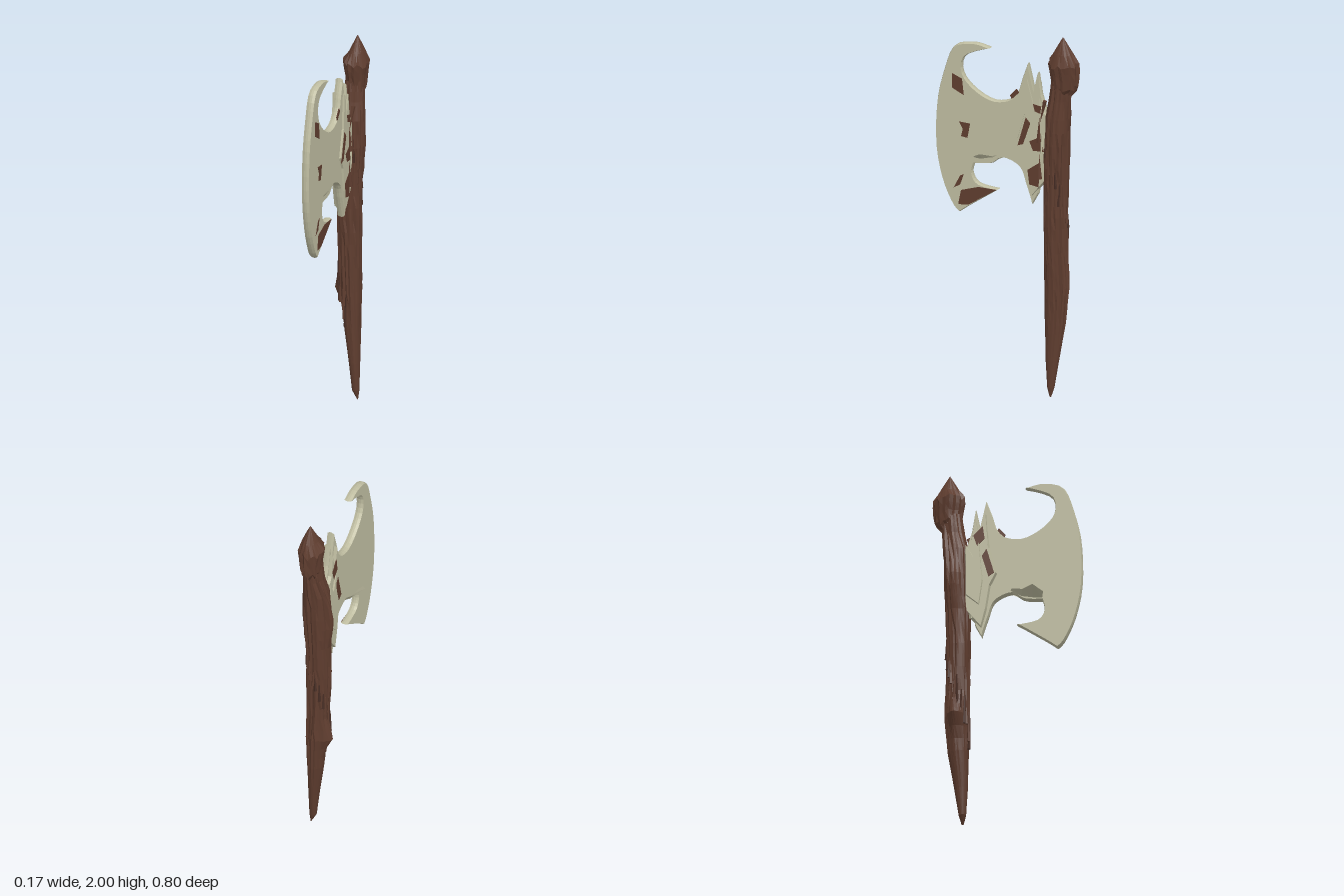
import * as THREE from 'three';

const mat = (color, side = THREE.FrontSide) =>
  new THREE.MeshStandardMaterial({ color, flatShading: true, roughness: 0.9, side });
const wood = mat(0x5f3d2f);
const darkWood = mat(0x4a3027);
const bone = mat(0xbfbda1);
const boneSheet = mat(0xbfbda1, THREE.DoubleSide);

// repeatable value in -1..1
const noise = (a, b = 0) => {
  const s = Math.sin(a * 127.1 + b * 311.7) * 43758.5453;
  return (s - Math.floor(s)) * 2 - 1;
};

function mesh(name, geometry, material) {
  const m = new THREE.Mesh(geometry, material);
  m.name = name;
  return m;
}

// Loft through rows [y, xMin, xMax, zMin, zMax]; push(point, angle, y, column) roughens each ring.
function loft(rows, sides, step, push) {
  const rings = [];
  rows.forEach((r, i) => {
    if (!i) return rings.push(r);
    const p = rows[i - 1], n = Math.max(1, Math.round((r[0] - p[0]) / step));
    for (let k = 1; k <= n; k++) rings.push(r.map((v, c) => p[c] + (v - p[c]) * k / n));
  });
  const pos = [], idx = [];
  rings.forEach(([y, x0, x1, z0, z1], j) => {
    for (let i = 0; i < sides; i++) {
      const a = i / sides * Math.PI * 2;
      const { r, dx, dy } = push(a, y, i, j);
      pos.push((x0 + x1) / 2 + Math.sin(a) * r * (x1 - x0) / 2 + dx, y + dy,
        (z0 + z1) / 2 + Math.cos(a) * r * (z1 - z0) / 2);
      if (j < rings.length - 1) {
        const p = j * sides + i, q = j * sides + (i + 1) % sides;
        idx.push(p, q, p + sides, q, q + sides, p + sides);
      }
    }
  });
  const g = new THREE.BufferGeometry();
  g.setAttribute('position', new THREE.Float32BufferAttribute(pos, 3));
  g.setIndex(idx);
  g.computeVertexNormals();
  return g;
}

// Plate in the z-y plane: runs of [z, y] points, corners fall between runs. Leans slightly in x.
function plate(runs, half, bevel, x = 0) {
  const s = new THREE.Shape();
  s.moveTo(...runs[0][0]);
  runs.forEach((run, i) => {
    const pts = (i ? run : run.slice(1)).map(p => new THREE.Vector2(...p));
    if (pts.length === 1) s.lineTo(pts[0].x, pts[0].y);
    else s.splineThru(pts);
  });
  const t = bevel ? half * 0.7 : 0;
  const g = new THREE.ExtrudeGeometry(s, {
    depth: 2 * (half - t), curveSegments: 3, bevelEnabled: bevel > 0,
    bevelThickness: t, bevelSize: bevel, bevelOffset: -bevel, bevelSegments: 1,
  });
  g.translate(0, 0, t - half).rotateY(-Math.PI / 2);
  const p = g.attributes.position;
  for (let i = 0; i < p.count; i++) p.setX(i, p.getX(i) + x + 0.03 * p.getZ(i));
  g.computeVertexNormals();
  return g;
}
const polygon = pts => pts.map(p => [p]).concat([[pts[0]]]).map((r, i) => i ? r : [r[0], r[0]]);

export function createModel() {
  const group = new THREE.Group();

  // handle: a tapering, furrowed trunk with a knot low on one side
  const handleRows = [
    [0, 0.043, 0.048, -0.248, -0.238], [0.05, 0.015, 0.055, -0.262, -0.222],
    [0.2, -0.003, 0.056, -0.285, -0.21], [0.4, -0.035, 0.056, -0.315, -0.202],
    [0.6, -0.052, 0.056, -0.33, -0.197], [0.8, -0.066, 0.058, -0.317, -0.195],
    [1.0, -0.072, 0.062, -0.316, -0.192], [1.2, -0.068, 0.062, -0.322, -0.192],
    [1.4, -0.072, 0.074, -0.33, -0.196], [1.55, -0.066, 0.07, -0.338, -0.2],
    [1.65, -0.045, 0.062, -0.345, -0.222], [1.76, -0.04, 0.06, -0.35, -0.235],
  ];
  group.add(mesh('handle', loft(handleRows, 36, 0.07, (a, y, i, j) => {
    const rough = Math.min(1, Math.max(0.12, (y - 0.1) * 1.6));
    const furrow = noise(i, Math.floor((y + noise(i) * 0.2) / 0.38));
    const west = Math.max(0, -Math.sin(a));
    const knot = 0.042 * Math.exp(-(((y - 0.61) / 0.07) ** 2)) * west ** 3;
    const burl = 0.02 * Math.exp(-(((y - 1.37) / 0.12) ** 4)) * west ** 6;
    return { r: 0.96 + rough * (0.11 * furrow + 0.02 * noise(i, j)), dx: -knot - burl, dy: 0 };
  }), wood));

  // raised bark strips
  const bark = new THREE.Group();
  bark.name = 'barkStrips';
  for (let i = 0; i < 22; i++) {
    const a = i * 2.4, y = 0.5 + (i * 0.618 % 1) * 1.0, len = 0.16 + 0.08 * noise(i, 5);
    const strip = mesh('barkStrip', new THREE.CylinderGeometry(0.003, 0.009, len, 4), i % 2 ? wood : darkWood);
    strip.position.set(-0.004 + Math.sin(a) * 0.061, y, -0.258 + Math.cos(a) * 0.06);
    strip.rotation.set(0.03 * noise(i, 1), a, 0.04 * noise(i, 2));
    bark.add(strip);
  }
  group.add(bark);

  // pommel: ragged bud with a pointed tip
  const pommelRows = [
    [1.68, -0.02, 0.05, -0.34, -0.25], [1.72, -0.04, 0.065, -0.38, -0.24],
    [1.77, -0.042, 0.07, -0.388, -0.232], [1.85, -0.055, 0.083, -0.39, -0.218],
    [1.91, -0.024, 0.062, -0.36, -0.25], [1.96, 0.0, 0.04, -0.33, -0.28],
    [2.0, 0.019, 0.021, -0.306, -0.304],
  ];
  group.add(mesh('pommel', loft(pommelRows, 26, 0.05, (a, y, i, j) => ({
    r: 0.97 + (y < 1.9 ? 0.1 : 0.04) * noise(i, 9) + 0.03 * noise(i, j),
    dx: 0, dy: y < 1.9 ? 0.018 * noise(i, 3) : 0,
  })), wood));

  // blade: broad crescent with a hooked top, a lower barb and spikes by the handle
  const blade = [
    [[0.10, 1.885], [0.19, 1.905], [0.30, 1.875], [0.355, 1.74], [0.395, 1.555], [0.4, 1.315], [0.365, 1.13], [0.31, 1.0], [0.27, 0.955]],
    [[0.21, 1.0], [0.055, 1.105]],
    [[0.165, 1.125], [0.2, 1.18], [0.19, 1.235]],
    [[0.095, 1.245], [0.03, 1.285], [-0.06, 1.245], [-0.095, 1.155], [-0.13, 1.045]],
    [[-0.165, 1.11]], [[-0.18, 1.235]], [[-0.215, 1.3]], [[-0.215, 1.55]], [[-0.182, 1.66]],
    [[-0.16, 1.78]], [[-0.138, 1.675]], [[-0.105, 1.825]],
    [[-0.075, 1.74], [-0.05, 1.66], [0, 1.61], [0.095, 1.6], [0.2, 1.66], [0.255, 1.74], [0.235, 1.83], [0.10, 1.885]],
  ];
  group.add(mesh('blade', plate(blade, 0.02, 0.005, 0.002), bone));

  // socket: jagged thicker layers gripping the handle
  const socket = [[-0.22, 1.2], [-0.165, 1.13], [-0.13, 1.09], [-0.1, 1.2], [-0.08, 1.33], [-0.045, 1.4],
    [-0.085, 1.55], [-0.105, 1.75], [-0.138, 1.62], [-0.162, 1.73], [-0.185, 1.6], [-0.22, 1.55]];
  group.add(mesh('socket', plate(polygon(socket), 0.034, 0.008, -0.002), bone));
  const sideFlake = [[-0.21, 1.28], [-0.14, 1.22], [-0.12, 1.36], [-0.14, 1.58], [-0.17, 1.5], [-0.21, 1.57]];
  group.add(mesh('socketFlake', plate(polygon(sideFlake), 0.012, 0.004, -0.033), bone));

  // rusty brown patches, each [surface x, outline]
  const patches = [
    [0.022, [[0.31, 1.725], [0.255, 1.7], [0.245, 1.61], [0.31, 1.645]]],
    [0.022, [[0.27, 1.46], [0.21, 1.455], [0.225, 1.375], [0.26, 1.38], [0.25, 1.42]]],
    [0.022, [[0.275, 1.0], [0.26, 1.08], [0.165, 1.108], [0.065, 1.103], [0.22, 1.003]]],
    [0.022, [[0.3, 1.09], [0.265, 1.16], [0.245, 1.17], [0.265, 1.11]]],
    [0.022, [[-0.01, 1.64], [-0.045, 1.68], [-0.06, 1.66], [-0.02, 1.62]]],
    [0.032, [[-0.055, 1.37], [-0.1, 1.53], [-0.125, 1.5], [-0.085, 1.38]]],
    [0.032, [[-0.12, 1.4], [-0.18, 1.43], [-0.2, 1.35], [-0.14, 1.35]]],
    [0.032, [[-0.11, 1.24], [-0.18, 1.29], [-0.17, 1.15], [-0.12, 1.16]]],
    [0.032, [[-0.14, 1.61], [-0.185, 1.6], [-0.18, 1.56], [-0.15, 1.57]]],
    [-0.036, [[-0.06, 1.4], [-0.1, 1.54], [-0.125, 1.5], [-0.09, 1.38]]],
    [-0.036, [[-0.11, 1.6], [-0.12, 1.67], [-0.17, 1.62], [-0.15, 1.56]]],
  ];
  patches.forEach(([x, pts]) => group.add(mesh('patch', plate(polygon(pts), 0.002, 0, x), wood)));

  // torn lips bent out from the lower notch
  for (const [side, reach] of [[-1, 0.075], [1, 0.05]]) {
    const root = [[0.02, 1.29], [0.08, 1.26], [0.14, 1.25], [0.19, 1.245]];
    const out = [0.35, 0.6, 1, 0.5];
    const pos = [], idx = [];
    root.forEach(([z, y], i) => {
      pos.push(side * 0.012, y, z, side * reach * out[i], y + 0.05 * out[i], z + 0.01);
      if (i) idx.push(2 * i - 2, 2 * i, 2 * i - 1, 2 * i, 2 * i + 1, 2 * i - 1);
    });
    const g = new THREE.BufferGeometry();
    g.setAttribute('position', new THREE.Float32BufferAttribute(pos, 3));
    g.setIndex(idx);
    g.computeVertexNormals();
    group.add(mesh('tornLip', g, boneSheet));
  }

  // splinters where the socket meets the handle
  for (let i = 0; i < 8; i++) {
    const splinter = mesh('splinter', new THREE.ConeGeometry(0.012, 0.14, 4), i % 3 ? wood : bone);
    splinter.position.set((i % 2 ? 0.03 : -0.034), 1.22 + i * 0.05, -0.185 + 0.012 * noise(i, 7));
    splinter.rotation.set(0.2 * noise(i, 4), i, i % 4 < 2 ? 0.1 : Math.PI - 0.1);
    group.add(splinter);
  }
  return group;
}
